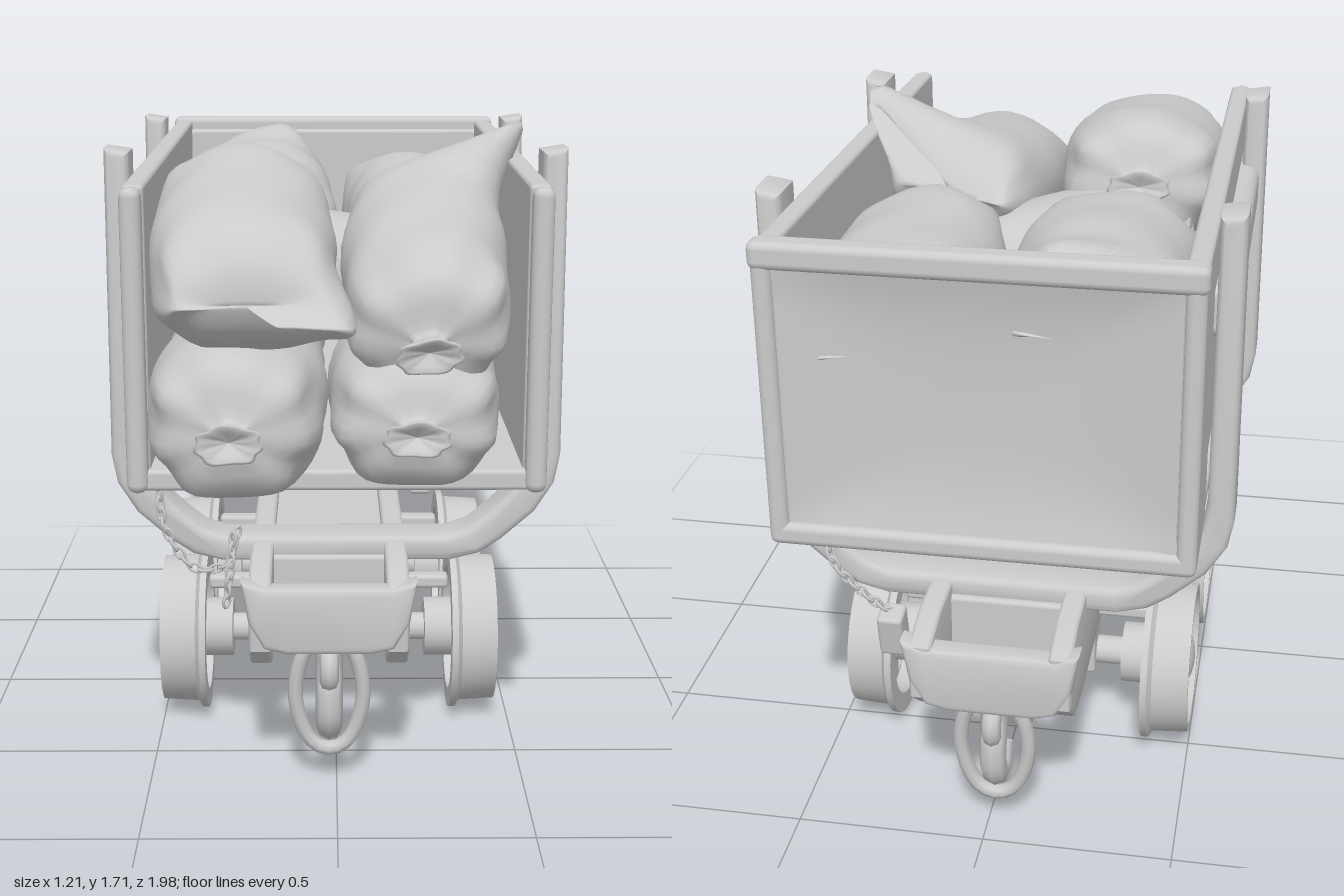
import * as THREE from 'three';
import { toCreasedNormals } from 'three/addons/utils/BufferGeometryUtils.js';
import { RoundedBoxGeometry } from 'three/addons/geometries/RoundedBoxGeometry.js';

const V = (x, y, z) => new THREE.Vector3(x, y, z);
const V2 = (p) => new THREE.Vector2(p[0], p[1]);
const mat = new THREE.MeshStandardMaterial({ color: 0xcccccc, side: THREE.DoubleSide });

export function createModel() {
  const root = new THREE.Group();

  const add = (name, geo, parent = root) => {
    const m = new THREE.Mesh(geo, mat);
    m.name = name;
    parent.add(m);
    return m;
  };
  // Rounded block given by its min and max on each axis
  const block = (name, x0, x1, y0, y1, z0, z1, r = 0.012) => {
    const w = x1 - x0, h = y1 - y0, d = z1 - z0;
    const m = add(name, new RoundedBoxGeometry(w, h, d, 2, Math.min(r, w / 2.1, h / 2.1, d / 2.1)));
    m.position.set((x0 + x1) / 2, (y0 + y1) / 2, (z0 + z1) / 2);
    return m;
  };
  // Mirrored pair of blocks
  const pair = (name, x0, x1, ...rest) => [block(name, x0, x1, ...rest), block(name, -x1, -x0, ...rest)];
  // Bevelled extrusion centred on its depth
  const slab = (shape, depth, bevel = 0.01) => {
    const g = new THREE.ExtrudeGeometry(shape, {
      depth: depth - 2 * bevel, bevelThickness: bevel, bevelSize: bevel, bevelOffset: -bevel, bevelSegments: 3, curveSegments: 10,
    });
    g.translate(0, 0, -(depth - 2 * bevel) / 2);
    return toCreasedNormals(g, 0.6);
  };
  const tube = (name, pts, r, closed, parent) =>
    add(name, new THREE.TubeGeometry(new THREE.CatmullRomCurve3(pts.map((p) => V(...p)), closed), 32, r, 8, closed), parent);

  // ---- Open-fronted hopper ----
  block('floor', -0.5, 0.5, 0.825, 0.88, -0.95, 0.72);
  block('underfloor', -0.5, 0.5, 0.765, 0.83, -0.68, 0.48);
  pair('sidePanel', 0.475, 0.51, 0.84, 1.58, -0.95, 0.7);
  pair('frontPost', 0.475, 0.53, 0.83, 1.59, 0.6, 0.69);
  pair('frontEdgePost', 0.48, 0.535, 0.82, 1.6, 0.67, 0.74, 0.025);
  pair('rearPost', 0.475, 0.53, 0.85, 1.62, -0.97, -0.7);
  pair('bottomRail', 0.475, 0.525, 0.83, 0.87, -0.8, 0.65);
  for (const rail of pair('topRail', 0.475, 0.53, 1.46, 1.615, -0.96, 0.7)) rail.rotation.x = 0.015;
  pair('middleRail', 0.49, 0.585, 1.32, 1.46, -0.64, 0.41, 0.035);
  block('backTopRim', -0.535, 0.535, 1.57, 1.64, -0.99, -0.92, 0.02);
  block('backBottomRim', -0.53, 0.53, 0.84, 0.9, -0.985, -0.92, 0.02);
  pair('backSideRim', 0.48, 0.53, 0.85, 1.62, -0.985, -0.92, 0.02);
  block('backInnerPanel', -0.5, 0.5, 0.87, 1.6, -0.93, -0.9);
  // Shallow dish in the outer back face
  const dish = new THREE.PlaneGeometry(1, 0.72, 14, 12).rotateY(Math.PI);
  const dp = dish.attributes.position;
  for (let i = 0; i < dp.count; i++) {
    const edge = Math.max(Math.abs(dp.getX(i)) / 0.5, Math.abs(dp.getY(i)) / 0.36);
    dp.setZ(i, -0.035 * edge ** 3);
  }
  dish.computeVertexNormals();
  add('backPanel', dish).position.set(0, 1.235, -0.935);

  // ---- U-shaped hoops that carry the hopper ----
  const outer = [[0.6, 1.67], [0.605, 0.85], [0.59, 0.77], [0.54, 0.69], [0.45, 0.61], [0.39, 0.57], [0.31, 0.55]];
  const inner = [[0.3, 0.62], [0.36, 0.64], [0.42, 0.69], [0.49, 0.76], [0.525, 0.82], [0.535, 0.9], [0.535, 1.66]];
  const flip = (a) => a.map(([x, y]) => [-x, y]).reverse();
  const hoopShape = new THREE.Shape([...outer, ...flip(outer), ...flip(inner), ...inner].map(V2));
  for (const z of [0.41, -0.645]) add('hoop', slab(hoopShape, 0.135, 0.02)).position.z = z;

  // ---- Chassis ----
  const side = new THREE.Shape([[0.74, 0.56], [0.6, 0.605], [-0.85, 0.605], [-0.98, 0.57], [-0.98, 0.42],
    [-0.9, 0.35], [-0.78, 0.33], [0.66, 0.33], [0.73, 0.39]].map(V2));
  for (const x of [-0.2, 0.16]) {
    const beam = add('chassisBeam', slab(side, 0.06));
    beam.rotation.y = -Math.PI / 2;
    beam.position.x = x;
  }
  // Tapered stay running down from the rear of the chassis
  const stayShape = new THREE.Shape([[-0.64, 0.4], [-0.79, 0.4], [-0.78, 0.32], [-0.64, 0.11], [-0.56, 0.09], [-0.56, 0.2]].map(V2));
  const stay = add('rearStay', slab(stayShape, 0.1));
  stay.rotation.y = -Math.PI / 2;
  stay.position.x = -0.02;
  const bumper = new THREE.Shape([[-0.25, 0.585], [-0.23, 0.47], [-0.19, 0.4], [-0.13, 0.385], [0.09, 0.385],
    [0.15, 0.4], [0.19, 0.47], [0.21, 0.585], [0.15, 0.565], [-0.19, 0.565]].map(V2));
  for (const z of [0.71, -0.95]) add('bumper', slab(bumper, 0.07, 0.015)).position.z = z;
  block('chassisDeck', -0.2, 0.16, 0.53, 0.57, -0.72, 0.48);
  for (const z of [0.46, -0.7]) block('crossMember', -0.2, 0.16, 0.42, 0.57, z - 0.03, z + 0.03);
  // Flared brackets joining hoops and beams
  const bracket = new THREE.Shape([[0.12, 0.4], [0.18, 0.4], [0.2, 0.54], [0.28, 0.6], [0.12, 0.6]].map(V2));
  for (const z of [0.41, -0.645]) for (const s of [0, Math.PI]) {
    const b = add('hoopBracket', slab(bracket, 0.1));
    b.position.set(-0.01, 0, z);
    b.rotation.y = s;
  }

  // ---- Wheels and axles ----
  const rimGeo = toCreasedNormals(new THREE.LatheGeometry([[0.18, 0], [0.235, 0], [0.235, 0.018], [0.216, 0.03],
    [0.21, 0.13], [0.19, 0.13], [0.18, 0.1], [0.178, 0.03], [0.18, 0]].map(V2), 40), 0.5);
  rimGeo.rotateZ(-Math.PI / 2);
  const disc = new THREE.Shape().absarc(0, 0, 0.185, 0, Math.PI * 2);
  for (let i = 0; i < 5; i++) {
    const a = (i * Math.PI * 2) / 5 + 0.3, h = new THREE.Path();
    h.absarc(0, 0, 0.166, a - 0.42, a + 0.42, false);
    h.absarc(0, 0, 0.11, a + 0.28, a - 0.28, true);
    h.closePath();
    disc.holes.push(h);
  }
  const spokes = slab(disc, 0.035, 0.007).rotateY(Math.PI / 2);
  const cyl = (r0, r1, h) => new THREE.CylinderGeometry(r0, r1, h, 20).rotateZ(-Math.PI / 2);
  for (const z of [0.155, -0.41]) {
    add('axle', cyl(0.04, 0.04, 0.72)).position.set(-0.02, 0.235, z);
    block('axleBeam', -0.37, 0.33, 0.36, 0.4, z - 0.025, z + 0.025);
    for (const s of [1, -1]) {
      const wheel = new THREE.Group();
      wheel.name = 'wheel';
      wheel.position.set(-0.02 + s * 0.35, 0.235, z);
      if (s < 0) wheel.rotation.y = Math.PI;
      add('rim', rimGeo, wheel);
      add('spokes', spokes, wheel).position.x = 0.065;
      add('hubCollar', cyl(0.09, 0.105, 0.04), wheel).position.x = 0.085;
      const cap = add('hubCap', new THREE.SphereGeometry(0.088, 20, 14), wheel);
      cap.position.x = 0.09;
      cap.scale.x = 0.5;
      add('innerHub', cyl(0.085, 0.085, 0.12), wheel).position.x = -0.01;
      root.add(wheel);
      const x = -0.02 + s * 0.18;
      block('axleHanger', x - 0.025, x + 0.025, 0.19, 0.4, z - 0.065, z + 0.065);
    }
  }
  block('brakeHandle', 0.26, 0.33, 0.38, 0.51, -0.755, -0.68).rotation.x = -0.2;

  // ---- Couplings: ring link and hook at each end ----
  for (const [z, s] of [[0.67, 1], [-0.91, -1]]) {
    const c = new THREE.Group();
    c.name = 'coupling';
    c.position.set(-0.02, 0, z);
    if (s < 0) c.rotation.y = Math.PI;
    tube('link', [[-0.06, 0.38, 0.02], [-0.09, 0.25, 0.01], [-0.05, 0.115, 0], [0, 0.09, 0], [0.05, 0.115, 0],
      [0.09, 0.25, 0.01], [0.06, 0.38, 0.02], [0, 0.42, 0.02]], 0.02, true, c);
    tube('hook', [[0, 0.43, 0.02], [0, 0.34, 0.01], [0, 0.26, 0.03], [0, 0.19, 0.025], [0, 0.15, -0.01],
      [0, 0.15, -0.05], [0, 0.2, -0.08]], 0.036, false, c);
    add('hookEye', new THREE.TorusGeometry(0.045, 0.026, 8, 18).rotateY(Math.PI / 2), c).position.set(0, 0.33, 0.01);
    root.add(c);
  }

  // ---- Safety chains ----
  const linkGeo = new THREE.TorusGeometry(0.015, 0.005, 6, 10).scale(0.75, 1.25, 1).rotateX(Math.PI / 2);
  const chain = (pts, n) => {
    const curve = new THREE.CatmullRomCurve3(pts.map((p) => V(...p)));
    for (let i = 0; i <= n; i++) {
      const p = curve.getPointAt(i / n), l = add('chainLink', linkGeo);
      l.position.copy(p);
      l.lookAt(p.clone().add(curve.getTangentAt(i / n)));
      l.rotateZ((i % 2) * Math.PI / 2);
    }
  };
  chain([[-0.48, 0.78, 0.49], [-0.46, 0.65, 0.5], [-0.38, 0.54, 0.5], [-0.3, 0.55, 0.49], [-0.27, 0.63, 0.47]], 15);
  chain([[-0.28, 0.62, 0.49], [-0.29, 0.52, 0.5], [-0.3, 0.44, 0.49]], 6);
  chain([[0.48, 0.78, -0.72], [0.44, 0.66, -0.75], [0.36, 0.56, -0.74], [0.3, 0.5, -0.72]], 13);

  // ---- Sacks: pillow seam at one end, tied neck at the other ----
  // Each row is half width, half height, position along the sack
  const rows = new THREE.CatmullRomCurve3([[0, 0, -0.95], [0.62, 0.06, -0.98], [0.82, 0.52, -0.9], [0.97, 0.88, -0.68], [1, 1, -0.25],
    [1, 1, 0.25], [0.97, 0.97, 0.55], [0.8, 0.8, 0.78], [0.25, 0.25, 0.88], [0.2, 0.18, 0.91], [0.36, 0.24, 1], [0, 0, 0.95]].map((p) => V(...p)));
  const sack = (from, to, rx, ry, seed, roll = 0, ear = [0, 0, 0]) => {
    const N = 44, M = 44, pos = [], idx = [], len = V(...from).distanceTo(V(...to)) / 2;
    const sq = (v) => Math.sign(v) * Math.abs(v) ** 0.88;
    for (let j = 0; j <= M; j++) {
      const r = rows.getPoint(j / M);
      const tie = THREE.MathUtils.smoothstep(r.z, 0.3, 0.85), seam = THREE.MathUtils.smoothstep(-r.z, 0.4, 1);
      for (let i = 0; i < N; i++) {
        const a = (i / N) * Math.PI * 2, c = Math.cos(a), s = Math.sin(a);
        const fold = 1 + 0.06 * tie * Math.cos(7 * a + seed + Math.sin(2 * a)) + 0.04 * seam * Math.cos(7 * a + seed)
          + 0.025 * Math.sin(2 * a + 5 * r.z + seed) + 0.015 * Math.sin(5 * a - 9 * r.z + seed * 2);
        const p = V(rx * r.x * sq(c) * fold, ry * r.y * sq(s) * fold, len * (r.z - 0.05 * seam * c ** 6));
        // One pulled-out corner
        p.addScaledVector(V(...ear), seam * Math.max(0, Math.cos(a - Math.atan2(ear[1], ear[0]))) ** 6);
        pos.push(p.x, p.y, p.z);
        const k = j * N + i, n = j * N + ((i + 1) % N);
        if (j < M) idx.push(k, n, k + N, n, n + N, k + N);
      }
    }
    const g = new THREE.BufferGeometry();
    g.setAttribute('position', new THREE.Float32BufferAttribute(pos, 3));
    g.setIndex(idx);
    g.computeVertexNormals();
    const m = add('sack', g);
    m.position.copy(V(...from).add(V(...to)).multiplyScalar(0.5));
    m.lookAt(V(...to));
    m.rotateZ(roll);
  };
  // Lower layer
  sack([-0.25, 1.03, -0.1], [-0.26, 1.02, 0.99], 0.225, 0.205, 1);
  sack([0.22, 1.04, -0.1], [0.19, 1.03, 0.98], 0.22, 0.185, 2);
  sack([-0.24, 1.06, -0.9], [-0.24, 1.06, 0], 0.22, 0.19, 3);
  sack([0.23, 1.06, -0.9], [0.23, 1.06, 0], 0.22, 0.19, 4);
  // Middle sack lying across
  sack([0.36, 1.18, -0.03], [-0.42, 1.36, 0.0], 0.2, 0.17, 5);
  // Upper layer
  sack([-0.25, 1.42, -0.93], [-0.22, 1.36, -0.06], 0.23, 0.19, 6, 0.1, [0.03, 0.1, 0]);
  sack([0.23, 1.36, -0.93], [0.3, 1.34, -0.03], 0.225, 0.19, 7, -0.1);
  sack([-0.22, 1.34, 0.92], [-0.27, 1.5, -0.04], 0.235, 0.19, 8, 0, [-0.08, -0.03, -0.07]);
  sack([0.25, 1.47, -0.08], [0.22, 1.22, 0.93], 0.215, 0.195, 9, 0.15, [0.19, 0.18, 0.1]);

  return root;
}
